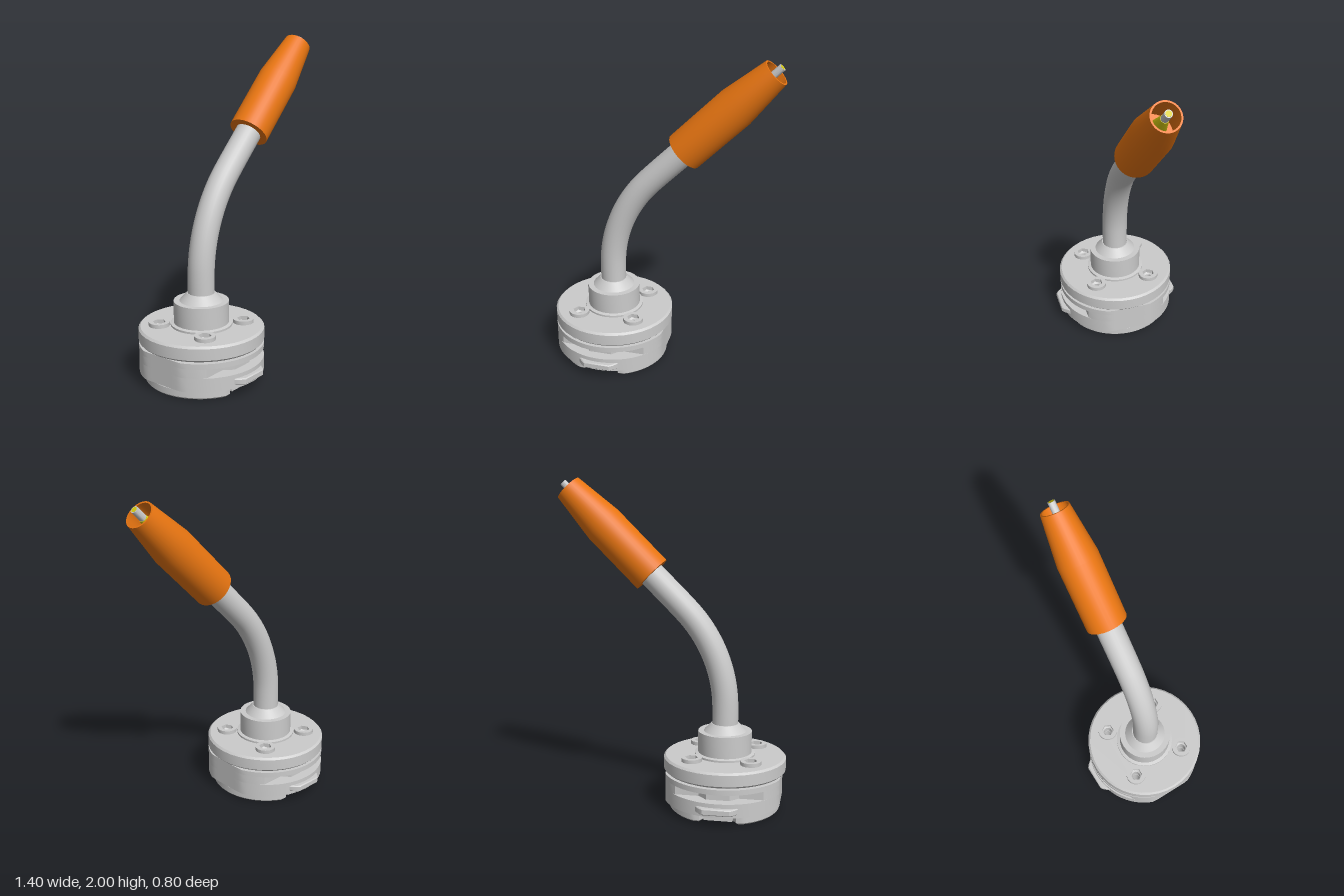
import * as THREE from 'three';
import { toCreasedNormals } from 'three/addons/utils/BufferGeometryUtils.js';

const BASE_X = -0.33;
const BOLT = 0.178; // bolt offset from the base axis

const grey = new THREE.MeshStandardMaterial({ color: 0xcccccc });
const orange = new THREE.MeshStandardMaterial({ color: 0xe87511 });
const yellow = new THREE.MeshStandardMaterial({ color: 0xd6cc10 });

function add(parent, name, geometry, material = grey) {
  const mesh = new THREE.Mesh(geometry, material);
  mesh.name = name;
  parent.add(mesh);
  return mesh;
}

const creased = (g) => toCreasedNormals(g, 0.5);

function lathe(profile, segments = 32) {
  return creased(new THREE.LatheGeometry(profile.map(([r, y]) => new THREE.Vector2(r, y)), segments));
}

// Disc outline cut by flats at +-xLimit and +-zLimit (zLimit may depend on x)
function disc(r, xLimit = r, zLimit = () => r, segments = 64) {
  const pts = [];
  for (let i = 0; i < segments; i++) {
    const a = (i / segments) * Math.PI * 2;
    const x = THREE.MathUtils.clamp(r * Math.cos(a), -xLimit, xLimit);
    const lim = zLimit(x);
    pts.push(new THREE.Vector2(x, THREE.MathUtils.clamp(r * Math.sin(a), -lim, lim)));
  }
  return new THREE.Shape(pts);
}

function poly(points) {
  return new THREE.Shape(points.map(([x, z]) => new THREE.Vector2(x, z)));
}

const rect = (hx, z0, z1) => poly([[-hx, z0], [hx, z0], [hx, z1], [-hx, z1]]);

function corners(fn) {
  for (const sx of [-1, 1]) for (const sz of [-1, 1]) fn(sx * BOLT, sz * BOLT);
}

function drill(shape, r) {
  corners((x, z) => shape.holes.push(new THREE.Path().absarc(x, z, r, 0, Math.PI * 2, true)));
  return shape;
}

// Horizontal slab between two heights, with optional chamfer
function slab(shape, y0, y1, bevel = 0) {
  const g = new THREE.ExtrudeGeometry(shape, {
    depth: y1 - y0 - 2 * bevel, bevelEnabled: bevel > 0, bevelSize: bevel,
    bevelThickness: bevel, bevelOffset: -bevel, bevelSegments: 1, curveSegments: 8,
  });
  g.rotateX(-Math.PI / 2);
  g.translate(0, y0 + bevel, 0);
  return creased(g);
}

function createBase() {
  const base = new THREE.Group();
  base.name = 'base';
  base.position.x = BASE_X;

  // Foot plate with centre recess, pockets and latch notches
  const foot = drill(disc(0.34, 0.34, (x) => (Math.abs(x) < 0.1 ? 0.27 : 0.307), 96), 0.03);
  foot.holes.push(rect(0.13, -0.13, 0.13), rect(0.05, 0.155, 0.23), rect(0.05, -0.23, -0.155));
  add(base, 'footPlate', slab(foot, 0, 0.06, 0.01));
  const recess = drill(disc(0.33, 0.33, () => 0.26), 0.026);
  recess.holes.push(new THREE.Path().absarc(0, 0, 0.025, 0, Math.PI * 2, true));
  add(base, 'recessCeiling', slab(recess, 0.03, 0.062));

  // Body with side flats and a slot across front and back
  add(base, 'lowerBody', slab(drill(disc(0.375, 0.35), 0.026), 0.06, 0.145));
  add(base, 'slotCore', slab(drill(disc(0.375, 0.35, () => 0.26), 0.026), 0.145, 0.2));
  add(base, 'upperBody', slab(drill(disc(0.375, 0.35), 0.026), 0.2, 0.232));
  add(base, 'seam', slab(drill(disc(0.345), 0.026), 0.232, 0.24));

  // Top flange
  add(base, 'flange', slab(drill(disc(0.376, 0.376, () => 0.376, 40), 0.026), 0.24, 0.333, 0.012));

  // Slot bosses and latches, front and back
  for (const side of [0, 1]) {
    const latch = new THREE.Group();
    latch.name = side ? 'backLatch' : 'frontLatch';
    latch.rotation.y = side * Math.PI;
    base.add(latch);
    const boss = poly([[-0.13, -0.25], [-0.07, -0.31], [0.07, -0.31], [0.13, -0.25]]);
    add(latch, 'slotBoss', slab(boss, 0.145, 0.2));
    const tab = poly([[-0.15, -0.3], [-0.13, -0.35], [-0.1, -0.385], [-0.08, -0.4],
      [0.08, -0.4], [0.1, -0.385], [0.13, -0.35], [0.15, -0.3]]);
    add(latch, 'latchTab', slab(tab, 0.08, 0.12, 0.006));
    add(latch, 'latchStem', slab(rect(0.085, -0.3, -0.262), 0.012, 0.065));
  }

  // Socket-head bolts
  corners((x, z) => {
    const head = new THREE.Shape().absarc(0, 0, 0.063, 0, Math.PI * 2);
    const socket = [];
    for (let i = 0; i < 6; i++) {
      const a = (i * Math.PI) / 3;
      socket.push(new THREE.Vector2(0.039 * Math.cos(a), 0.039 * Math.sin(a)));
    }
    head.holes.push(new THREE.Path(socket));
    add(base, 'bolt', slab(head, 0.33, 0.356)).position.set(x, 0, z);
  });

  // Neck collar
  add(base, 'collar', lathe([[0, 0.33], [0.185, 0.33], [0.185, 0.345], [0.165, 0.35], [0.165, 0.482],
    [0.13, 0.482], [0.085, 0.53], [0, 0.53]]));
  return base;
}

function createNeck() {
  // Vertical start, 45 degree arc, then straight into the nozzle
  const R = 0.862, y0 = 0.62;
  const pts = [new THREE.Vector3(BASE_X, 0.5, 0)];
  for (let i = 0; i <= 8; i++) {
    const a = (i / 8) * (Math.PI / 4);
    pts.push(new THREE.Vector3(BASE_X + R * (1 - Math.cos(a)), y0 + R * Math.sin(a), 0));
  }
  pts.push(new THREE.Vector3(0.135, 1.442, 0));
  return new THREE.TubeGeometry(new THREE.CatmullRomCurve3(pts), 40, 0.08, 24);
}

function createNozzle() {
  const head = new THREE.Group();
  head.name = 'nozzleAssembly';
  head.position.set(0.125, 1.432, 0);
  head.rotation.z = -Math.PI / 4;
  // Hollow tapered shell
  add(head, 'nozzle', lathe([[0, 0], [0.123, 0], [0.123, 0.42], [0.086, 0.723], [0.076, 0.723],
    [0.105, 0.45], [0, 0.45]]), orange);
  // Contact tip and wire
  add(head, 'contactTip', lathe([[0.05, 0.44], [0.045, 0.56], [0.024, 0.69], [0, 0.69]], 20), yellow);
  add(head, 'wireSleeve', lathe([[0.022, 0.66], [0.022, 0.768], [0.016, 0.768]], 16));
  add(head, 'wire', lathe([[0.017, 0.67], [0.017, 0.769], [0, 0.769]], 16), yellow);
  return head;
}

export function createModel() {
  const model = new THREE.Group();
  model.name = 'weldingTorch';
  model.add(createBase());
  add(model, 'neck', createNeck());
  model.add(createNozzle());
  return model;
}
